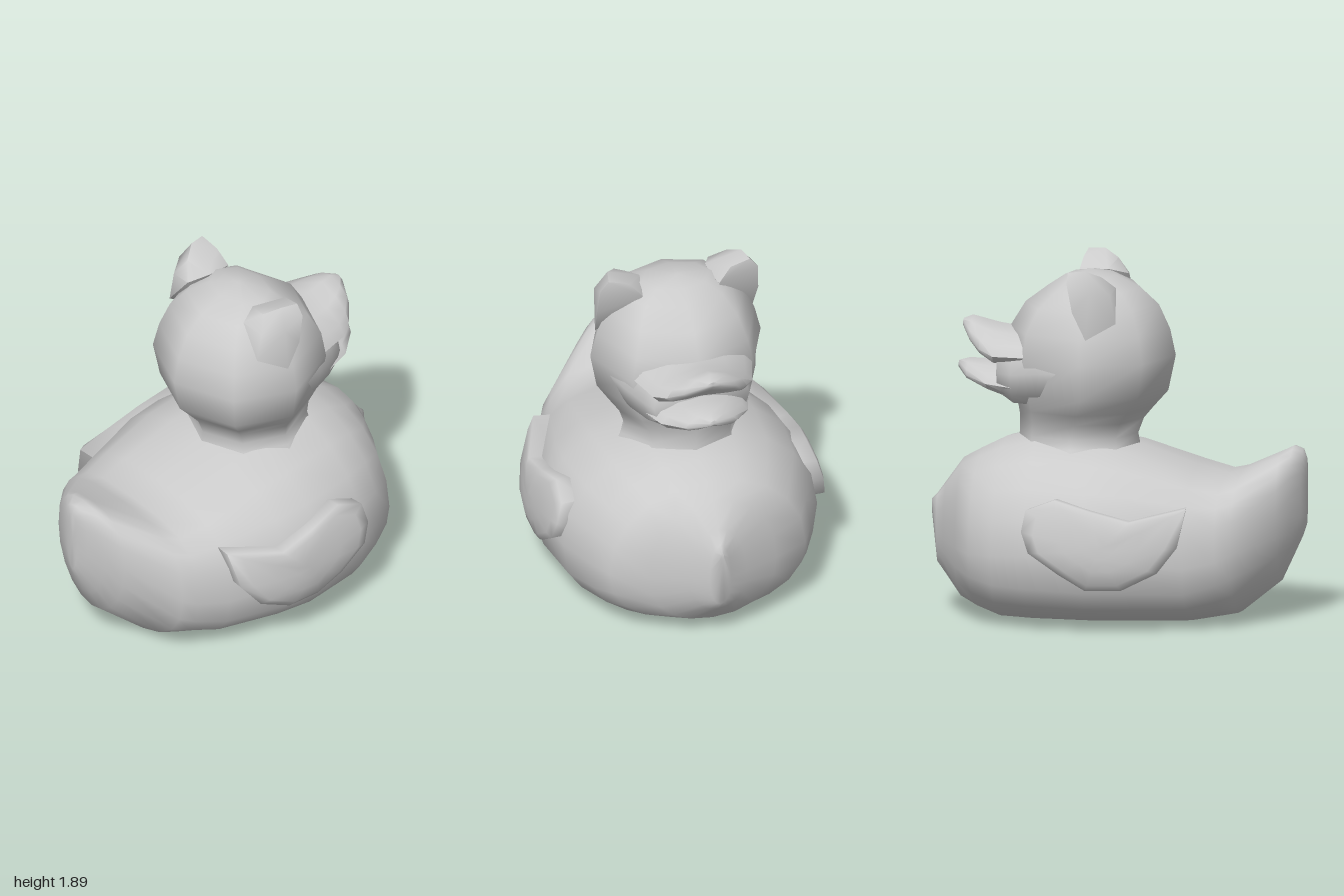
import * as THREE from 'three';
import { toCreasedNormals } from 'three/addons/utils/BufferGeometryUtils.js';
import { ConvexGeometry } from 'three/addons/geometries/ConvexGeometry.js';

const V = (x, y, z) => new THREE.Vector3(x, y, z);
const grey = new THREE.MeshStandardMaterial({ color: 0xcccccc });

// Skin a list of equal-length closed rings and cap both ends
function loft(rings, crease = 1.2) {
  const n = rings[0].length, pos = [], tris = [];
  rings.flat().forEach((p) => pos.push(p.x, p.y, p.z));
  for (let r = 0; r < rings.length - 1; r++) {
    for (let i = 0; i < n; i++) {
      const j = (i + 1) % n, a = r * n + i, b = r * n + j, c = a + n, d = b + n;
      tris.push([a, b, c], [b, d, c]);
    }
  }
  [0, rings.length - 1].forEach((r) => {
    const mid = V(0, 0, 0);
    rings[r].forEach((p) => mid.addScaledVector(p, 1 / n));
    const m = pos.length / 3;
    pos.push(mid.x, mid.y, mid.z);
    for (let i = 0; i < n; i++) {
      const a = r * n + i, b = r * n + (i + 1) % n;
      tris.push(r === 0 ? [m, b, a] : [m, a, b]);
    }
  });
  // Turn the faces outward if the rings ran the other way
  const at = (i) => V(pos[3 * i], pos[3 * i + 1], pos[3 * i + 2]);
  const volume = tris.reduce((s, [a, b, c]) => s + at(a).dot(at(b).cross(at(c))), 0);
  if (volume < 0) tris.forEach((t) => t.reverse());
  const geo = new THREE.BufferGeometry();
  geo.setAttribute('position', new THREE.Float32BufferAttribute(pos, 3));
  geo.setIndex(tris.flat());
  return toCreasedNormals(geo, crease);
}

const ring = (n, fn) => Array.from({ length: n }, (_, i) => fn((i / n) * Math.PI * 2));
const pow = (v, e) => Math.sign(v) * Math.abs(v) ** e;

// Body: sections along x as [x, bottom, top, half width, bottom squareness, top squareness]
function bodyGeometry() {
  const sections = [
    [-1.0, 0.50, 0.86, 0.04, 2, 2], [-0.98, 0.44, 0.905, 0.1, 2, 2.5],
    [-0.93, 0.33, 0.92, 0.19, 2, 2.6], [-0.87, 0.20, 0.89, 0.27, 2, 2.7],
    [-0.66, 0.03, 0.785, 0.5, 2.2, 3], [-0.58, 0.02, 0.765, 0.54, 2.3, 3.1],
    [-0.42, 0, 0.81, 0.6, 2.6, 2.9], [-0.1, 0, 0.92, 0.71, 2.8, 2.3],
    [0.1, 0, 0.96, 0.74, 2.9, 2.1], [0.42, 0, 0.975, 0.7, 2.8, 2.1],
    [0.6, 0, 0.935, 0.61, 2.6, 2.1], [0.73, 0.04, 0.87, 0.54, 2.3, 2.1],
    [0.83, 0.08, 0.815, 0.35, 2.2, 2.1], [0.92, 0.19, 0.69, 0.16, 2.1, 2],
    [0.97, 0.25, 0.62, 0.06, 2, 2], [1.0, 0.52, 0.59, 0.01, 2, 2],
  ];
  return loft(sections.map(([x, bot, top, w, nb, nt]) => {
    const wide = bot + (top - bot) * (0.42 + 0.3 * Math.max(0, -x - 0.4));
    return ring(20, (a) => {
      const s = Math.sin(a), e = 2 / (s > 0 ? nt : nb);
      return V(x, wide + pow(s, e) * (s > 0 ? top - wide : wide - bot), w * pow(Math.cos(a), e));
    });
  }));
}

// Neck and head: level rings as [y, back x, front x, half width]
function headGeometry() {
  const levels = [
    [0.82, -0.11, 0.55, 0.4], [0.92, -0.11, 0.54, 0.32], [0.97, -0.1, 0.53, 0.3],
    [1.05, -0.13, 0.53, 0.325], [1.11, -0.18, 0.54, 0.37], [1.2, -0.26, 0.56, 0.435],
    [1.39, -0.3, 0.6, 0.47], [1.53, -0.27, 0.58, 0.435], [1.66, -0.21, 0.5, 0.38],
    [1.75, -0.11, 0.38, 0.3], [1.81, 0.02, 0.29, 0.19], [1.835, 0.14, 0.18, 0.01],
  ];
  return loft(levels.map(([y, x0, x1, w]) =>
    ring(8, (a) => V((x0 + x1) / 2 + ((x1 - x0) / 2) * Math.cos(a), y, w * Math.sin(a)))), 1.6);
}

// Muzzle and beak: arched sections as [x, bottom, top, half width, droop of the sides]
function beakGeometry(sections, squareness = 2) {
  return loft(sections.map(([x, bot, top, w, droop]) => ring(12, (a) => {
    const c = pow(Math.cos(a), 2 / squareness), s = pow(Math.sin(a), 2 / squareness);
    return V(x, (bot + top) / 2 + ((top - bot) / 2) * s - droop * Math.abs(c) ** 1.4, w * c);
  })));
}

// Ear: back bulges out, front ends in a sharp rim
function earGeometry(side) {
  const points = [
    [0.12, 1.53, 0.435], [0.19, 1.68, 0.445], [0.22, 1.83, 0.435], [0.22, 1.885, 0.39],
    [0.23, 1.86, 0.28], [0.25, 1.78, 0.21], [-0.03, 1.61, 0.36], [-0.015, 1.78, 0.23],
    [0.09, 1.81, 0.18], [0.05, 1.85, 0.31], [0.13, 1.89, 0.37], [0.0, 1.76, 0.36],
    [0.1, 1.78, 0.435], [0.1, 1.55, 0.3],
  ];
  return toCreasedNormals(new ConvexGeometry(points.map(([x, y, z]) => V(x, y, z * side))), 1);
}

// Wing: outline raised off the body, domed towards its middle
function wingGeometry(side) {
  const outline = [
    [-0.44, 0.67], [-0.15, 0.61], [0.05, 0.66], [0.25, 0.715], [0.4, 0.66], [0.42, 0.55],
    [0.38, 0.44], [0.22, 0.33], [0.08, 0.24], [-0.11, 0.245], [-0.3, 0.34], [-0.4, 0.47],
  ];
  const surface = (x, y) =>
    0.775 - (y > 0.38 ? 0.65 : 2) * (y - 0.38) ** 2 - (x < 0 ? 0.55 : 0.06) * x * x;
  const layer = (scale, depth = 0) => outline.map(([px, py]) => {
    const x = px * scale, y = 0.46 + (py - 0.46) * scale;
    return V(x, y, side * (surface(x, y) - depth));
  });
  return loft([layer(0.97, 0.16), layer(1, 0.01), layer(0.85), layer(0.5), layer(0.2)], 1.7);
}

export function createModel() {
  const model = new THREE.Group();
  const add = (name, geometry) => {
    const mesh = new THREE.Mesh(geometry, grey);
    mesh.name = name;
    model.add(mesh);
  };
  add('body', bodyGeometry());
  add('head', headGeometry());
  add('muzzle', beakGeometry([
    [0.17, 1.16, 1.54, 0.44, 0], [0.4, 1.12, 1.54, 0.365, 0], [0.54, 1.13, 1.51, 0.3, 0.01],
    [0.62, 1.19, 1.48, 0.265, 0.02],
  ], 2.8));
  add('upperBeak', beakGeometry([
    [0.35, 1.34, 1.54, 0.36, 0.03], [0.55, 1.34, 1.53, 0.3, 0.03], [0.64, 1.36, 1.545, 0.275, 0.05],
    [0.72, 1.42, 1.565, 0.22, 0.06], [0.78, 1.48, 1.58, 0.15, 0.05], [0.83, 1.53, 1.56, 0.04, 0.01],
  ]));
  add('lowerBeak', beakGeometry([
    [0.35, 1.1, 1.32, 0.33, 0], [0.55, 1.145, 1.335, 0.28, 0], [0.68, 1.21, 1.35, 0.24, 0.03],
    [0.8, 1.265, 1.35, 0.14, 0.03], [0.855, 1.305, 1.335, 0.03, 0.01],
  ]));
  [['back', -1], ['front', 1]].forEach(([label, side]) => {
    add(`${label}Ear`, earGeometry(side));
    add(`${label}Wing`, wingGeometry(side));
  });
  return model;
}
